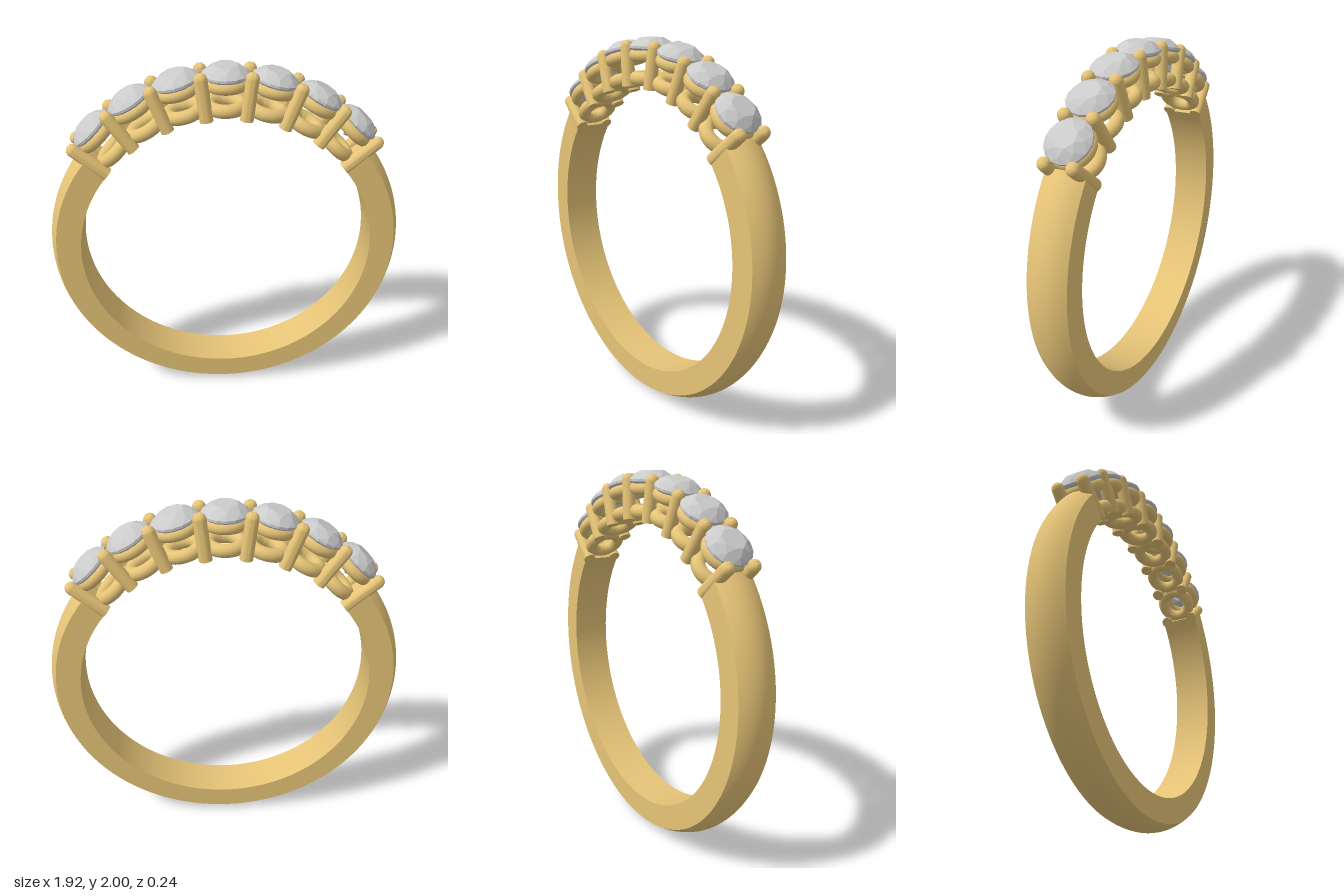
import * as THREE from 'three';
import { toCreasedNormals } from 'three/addons/utils/BufferGeometryUtils.js';
import { ConvexGeometry } from 'three/addons/geometries/ConvexGeometry.js';

const CENTRE = 0.96, BORE = 0.792, OUTER = 0.96, HALF_WIDTH = 0.107;
const STEP = THREE.MathUtils.degToRad(14.33); // angle between stones
const END = STEP * 3.5; // where the plain band starts
const STONES = 7;

const gold = new THREE.MeshStandardMaterial({ color: 0xe6c477 });
const goldCap = new THREE.MeshStandardMaterial({ color: 0xe6c477, side: THREE.DoubleSide });
const grey = new THREE.MeshStandardMaterial({ color: 0xcccccc, flatShading: true });

function mesh(name, geometry, material) {
  const m = new THREE.Mesh(geometry, material);
  m.name = name;
  return m;
}

// Trims a part (in its local frame, radius along y) flush with the bore
function trimToBore(geometry) {
  const p = geometry.attributes.position;
  for (let i = 0; i < p.count; i++) {
    const x = p.getX(i);
    p.setY(i, Math.max(p.getY(i), Math.sqrt(BORE * BORE - x * x)));
  }
  return toCreasedNormals(geometry, 0.7);
}

// Band cross-section: flat bore and sides, domed outside
function bandSection() {
  const pts = [new THREE.Vector2(BORE, HALF_WIDTH), new THREE.Vector2(BORE, -HALF_WIDTH)];
  for (let i = 0; i <= 12; i++) {
    const t = -1 + i / 6;
    pts.push(new THREE.Vector2(OUTER - 0.036 * t * t, t * HALF_WIDTH));
  }
  return pts;
}

function buildBand() {
  const band = new THREE.Group();
  band.name = 'band';
  const section = bandSection();
  const sweep = new THREE.LatheGeometry([...section, section[0].clone()], 120, END, 2 * Math.PI - 2 * END);
  sweep.rotateX(-Math.PI / 2);
  band.add(mesh('shank', toCreasedNormals(sweep, 0.6), gold));
  for (const side of [-1, 1]) {
    const cap = new THREE.ShapeGeometry(new THREE.Shape(section));
    cap.rotateX(-Math.PI / 2).rotateZ(Math.PI / 2 - side * END);
    band.add(mesh('shankEnd', cap, goldCap));
  }
  return band;
}

// Round brilliant: table, crown, girdle, pavilion and culet
function stoneGeometry() {
  const points = [];
  const ring = (count, radius, y, turn) => {
    for (let i = 0; i < count; i++) {
      const a = ((i + turn) / count) * Math.PI * 2;
      points.push(new THREE.Vector3(radius * Math.cos(a), y, radius * Math.sin(a)));
    }
  };
  ring(8, 0.062, 1.04, 0.5);
  ring(8, 0.094, 1.022, 0);
  ring(16, 0.119, 0.998, 0);
  ring(16, 0.119, 0.986, 0);
  ring(8, 0.062, 0.937, 0.5);
  points.push(new THREE.Vector3(0, 0.893, 0));
  return new ConvexGeometry(points);
}

function ringGeometry(radius, tube, height) {
  return new THREE.TorusGeometry(radius, tube, 14, 40).rotateX(Math.PI / 2).translate(0, height, 0);
}

// Round-tipped prong, leaning slightly in toward the stone
function prongGeometry(side) {
  const g = new THREE.CapsuleGeometry(0.034, 0.22, 8, 18);
  g.rotateX(-side * 0.05).translate(0, 0.888, side * 0.079);
  return trimToBore(g);
}

export function createModel() {
  const model = new THREE.Group();
  model.name = 'ring';
  const body = new THREE.Group();
  body.name = 'ringBody';
  body.position.y = CENTRE;
  model.add(body);
  body.add(buildBand());

  const stone = stoneGeometry();
  const upper = ringGeometry(0.088, 0.032, 0.95);
  const lower = trimToBore(ringGeometry(0.083, 0.035, 0.832));
  const prongs = [prongGeometry(-1), prongGeometry(1)];

  // A stone on two gallery rings per setting
  for (let i = 0; i < STONES; i++) {
    const setting = new THREE.Group();
    setting.name = 'setting';
    setting.rotation.z = -(i - 3) * STEP;
    setting.add(mesh('stone', stone, grey), mesh('upperGalleryRing', upper, gold), mesh('lowerGalleryRing', lower, gold));
    body.add(setting);
  }

  // Pairs of prongs between the stones and at both ends
  for (let i = 0; i <= STONES; i++) {
    const pair = new THREE.Group();
    pair.name = 'prongPair';
    pair.rotation.z = -(i - 3.5) * STEP;
    prongs.forEach((g) => pair.add(mesh('prong', g, gold)));
    body.add(pair);
  }
  return model;
}
